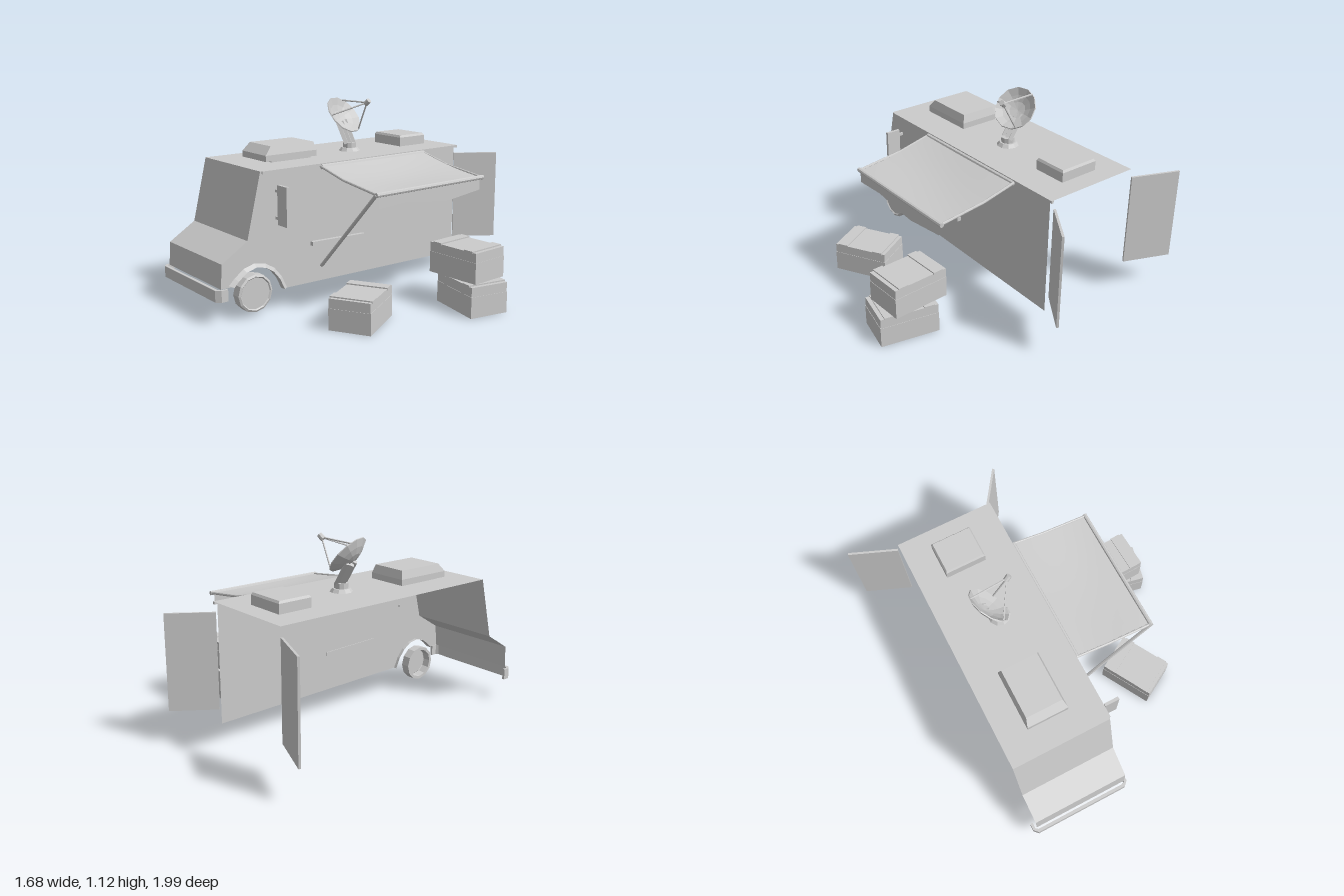
import * as THREE from 'three';

const grey = new THREE.MeshStandardMaterial({ color: 0xcccccc, flatShading: true, side: THREE.DoubleSide });
const smooth = new THREE.MeshStandardMaterial({ color: 0xcccccc, side: THREE.DoubleSide });
const V = (x, y, z) => new THREE.Vector3(x, y, z);

export function createModel() {
  const root = new THREE.Group();
  const add = (name, geo, parent = root, mat = grey) => {
    const m = new THREE.Mesh(geo, mat);
    m.name = name;
    parent.add(m);
    return m;
  };
  const group = (name) => {
    const g = new THREE.Group();
    g.name = name;
    root.add(g);
    return g;
  };
  // Box given by its lower and upper corners
  const block = (name, a, b, parent) => {
    const m = add(name, new THREE.BoxGeometry(b[0] - a[0], b[1] - a[1], b[2] - a[2]), parent);
    m.position.set((a[0] + b[0]) / 2, (a[1] + b[1]) / 2, (a[2] + b[2]) / 2);
    return m;
  };
  // Round rod between two points
  const rod = (name, a, b, r, parent, sides = 8) => {
    const d = b.clone().sub(a);
    const m = add(name, new THREE.CylinderGeometry(r, r, d.length(), sides), parent);
    m.position.copy(a).add(b).multiplyScalar(0.5);
    m.quaternion.setFromUnitVectors(V(0, 1, 0), d.normalize());
    return m;
  };
  // Sheet joining two matching rows of points
  const sheet = (name, rowA, rowB, parent, mat) => {
    const p = [];
    for (let i = 0; i < rowA.length - 1; i++) {
      for (const q of [rowA[i], rowB[i], rowB[i + 1], rowA[i], rowB[i + 1], rowA[i + 1]]) p.push(q.x, q.y, q.z);
    }
    const geo = new THREE.BufferGeometry();
    geo.setAttribute('position', new THREE.Float32BufferAttribute(p, 3));
    geo.computeVertexNormals();
    return add(name, geo, parent, mat);
  };

  // Body: roof and nose sheet, plus one side wall; open at the back, the other side and below
  const body = group('body');
  const X0 = -0.56, X1 = 0.025;
  const profile = [[-0.77, 0.8], [0.7, 0.8], [0.79, 0.435], [0.95, 0.335], [0.96, 0.2]];
  sheet('roofAndNose', profile.map(([z, y]) => V(X1, y, z)), profile.map(([z, y]) => V(X0, y, z)), body);
  const arch = [[0.57, 0.125], [0.6, 0.19], [0.64, 0.24], [0.69, 0.273], [0.75, 0.285], [0.81, 0.268], [0.86, 0.23], [0.89, 0.2]];
  const wall = new THREE.Shape([[-0.75, 0.1], ...arch, ...profile.slice().reverse().slice(0, 4), [-0.75, 0.8]]
    .map(([z, y]) => new THREE.Vector2(z, y)));
  add('sideWall', new THREE.ShapeGeometry(wall).rotateY(-Math.PI / 2), body).position.x = X1;
  block('gutter', [0.02, 0.785, -0.77], [0.034, 0.8, 0.69], body);
  sheet('wheelArchLip', arch.map(([z, y]) => V(0.005, y, z)), arch.map(([z, y]) => V(0.045, y, z)), body);
  sheet('wheelArchTrim', arch.map(([z, y]) => V(0.045, y, z)),
    arch.map(([z, y]) => V(0.027, y + 0.02 * (y - 0.1) / 0.18, z + 0.15 * (z - 0.74))), body);

  // Front bumper with wrapped ends
  const bumper = new THREE.Shape([[-0.585, 0.925], [-0.585, 0.965], [-0.56, 0.99], [0.015, 0.99], [0.04, 0.965], [0.04, 0.925],
    [0.025, 0.925], [0.025, 0.96], [0.01, 0.972], [-0.555, 0.972], [-0.57, 0.96], [-0.57, 0.925]]
    .map(([x, z]) => new THREE.Vector2(x, z)));
  add('bumper', new THREE.ExtrudeGeometry(bumper, { depth: 0.065, bevelEnabled: false }).rotateX(Math.PI / 2)).position.y = 0.198;

  // Wheel, hollow on its inner side
  const tyre = [[0, 0.02], [0.09, 0.02], [0.096, 0.026], [0.108, 0.02], [0.108, -0.035], [0.09, -0.035], [0.085, 0.01]]
    .map(([r, y]) => new THREE.Vector2(r, y));
  add('wheel', new THREE.LatheGeometry(tyre, 12).rotateZ(-Math.PI / 2)).position.set(0, 0.133, 0.745);

  // Open rear doors
  [[[-0.57, -0.77], [-0.84, -0.88]], [[0.01, -0.77], [0.165, -0.995]]].forEach(([a, b], i) => {
    const dx = b[0] - a[0], dz = b[1] - a[1];
    const door = add(i ? 'leftRearDoor' : 'rightRearDoor', new THREE.BoxGeometry(Math.hypot(dx, dz), 0.55, 0.013));
    door.position.set((a[0] + b[0]) / 2, 0.472, (a[1] + b[1]) / 2);
    door.rotation.y = -Math.atan2(dz, dx);
  });

  // Mirror and side shelf
  const mirror = group('sideMirror');
  block('mirrorPanel', [0.052, 0.5, 0.595], [0.14, 0.72, 0.613], mirror);
  for (const y of [0.535, 0.685]) block('mirrorBracket', [0.02, y - 0.008, 0.598], [0.055, y + 0.008, 0.61], mirror);
  block('sideShelf', [0.02, 0.335, 0], [0.05, 0.358, 0.38]).rotation.x = -0.03;

  // Awning: sagging cloth, valance, rails and prop
  const awning = group('awning');
  const zf = 0.305, zr = -0.475;
  const cloth = new THREE.PlaneGeometry(1, 1, 10, 12);
  const pos = cloth.attributes.position;
  for (let i = 0; i < pos.count; i++) {
    const u = pos.getX(i) + 0.5, v = pos.getY(i) + 0.5;
    const sag = Math.sin(Math.PI * u) * (0.012 + 0.015 * Math.sin(Math.PI * v));
    pos.setXYZ(i, 0.03 + 0.49 * u, 0.79 - 0.09 * u - sag, zf + (zr - zf) * v);
  }
  cloth.computeVertexNormals();
  add('awningCloth', cloth, awning, smooth);
  const hem = [[0.3, 0.625], [0.1, 0.635], [-0.05, 0.615], [-0.2, 0.6], [-0.33, 0.615], [-0.46, 0.63]];
  sheet('valance', hem.map(([z]) => V(0.52, 0.7, z)), hem.map(([z, y]) => V(0.521, y, z)), awning);
  rod('awningRoller', V(0.038, 0.782, zf), V(0.038, 0.782, zr), 0.014, awning);
  rod('awningFrontBar', V(0.52, 0.7, zf + 0.01), V(0.52, 0.7, zr - 0.01), 0.013, awning);
  for (const z of [zf, zr]) {
    rod('awningRail', V(0.03, 0.785, z), V(0.24, 0.735, z), 0.008, awning);
    rod('awningRail', V(0.24, 0.735, z), V(0.52, 0.7, z), 0.008, awning);
  }
  rod('awningProp', V(0.035, 0.21, 0.31), V(0.515, 0.7, 0.31), 0.01, awning, 6);

  // Roof units with a tapered upper half
  const roofUnit = (name, z0, z1, y0, yMid, y1, inset, frontInset) => {
    const g = group(name);
    block('unitBase', [-0.395, y0, z0], [-0.15, yMid, z1], g);
    const top = block('unitCover', [-0.395, yMid, z0], [-0.15, y1, z1], g);
    const p = top.geometry.attributes.position;
    for (let i = 0; i < p.count; i++) {
      if (p.getY(i) < 0) continue;
      p.setX(i, p.getX(i) - Math.sign(p.getX(i)) * inset);
      p.setZ(i, p.getZ(i) + (p.getZ(i) > 0 ? -frontInset : inset));
    }
  };
  roofUnit('frontRoofUnit', 0.2, 0.55, 0.81, 0.845, 0.893, 0.014, 0.042);
  roofUnit('rearRoofUnit', -0.655, -0.45, 0.8, 0.855, 0.868, 0.008, 0.008);
  for (const [z0, z1] of [[0.23, 0.5], [-0.63, -0.47]]) block('unitFoot', [-0.37, 0.798, z0], [-0.17, 0.815, z1]);

  // Satellite dish on its mount
  const dish = group('satelliteDish');
  const centre = V(-0.295, 1.005, -0.105), axis = V(0.74, 0.63, -0.22).normalize();
  const foot = add('dishFoot', new THREE.CylinderGeometry(0.05, 0.065, 0.02, 10), dish);
  foot.position.set(-0.235, 0.81, -0.11);
  rod('dishTurntable', V(-0.235, 0.81, -0.11), V(-0.235, 0.85, -0.11), 0.04, dish, 10);
  for (const s of [-1, 1]) rod('dishFork', V(-0.225, 0.84, -0.11 + s * 0.03), V(-0.315, 0.975, -0.11 + s * 0.03), 0.016, dish, 4);
  rod('dishPost', V(-0.235, 0.84, -0.11), V(-0.31, 0.965, -0.105), 0.024, dish, 4);
  const bowlProfile = [[0, -0.035], [0.05, -0.028], [0.09, -0.012], [0.13, 0.012], [0.127, 0.018], [0.088, -0.004], [0.05, -0.019], [0, -0.026]]
    .map(([r, y]) => new THREE.Vector2(r, y));
  const bowl = add('dishBowl', new THREE.LatheGeometry(bowlProfile, 12), dish);
  bowl.position.copy(centre);
  bowl.quaternion.setFromUnitVectors(V(0, 1, 0), axis);
  const feed = V(-0.14, 1.095, -0.17);
  for (const a of [0.2, 2.3, 4.4]) {
    const rim = V(0.125 * Math.sin(a), 0.012, 0.125 * Math.cos(a)).applyQuaternion(bowl.quaternion).add(centre);
    rod('feedStrut', rim, feed, 0.005, dish, 5);
  }
  rod('feedHorn', feed.clone().addScaledVector(axis, -0.015), feed.clone().addScaledVector(axis, 0.02), 0.016, dish, 8);

  // Equipment cases: x, base height, z, turn
  [[0.455, 0, 0.363, 0.5 - Math.PI / 2 + 0.015, 0.332], [0.65, 0, -0.28, -0.21, 0.34], [0.603, 0.18, -0.282, 0.04, 0.34]]
    .forEach(([x, y, z, turn, len]) => {
      const g = group('equipmentCase');
      g.position.set(x, y, z);
      g.rotation.y = turn;
      const h = len / 2;
      block('caseBody', [-h, 0.002, -0.118], [h, 0.122, 0.118], g);
      block('caseLid', [-h + 0.002, 0.122, -0.116], [h - 0.002, 0.176, 0.116], g);
      for (const s of [-1, 1]) block('caseBand', [s * 0.115 - 0.03, 0.17, -0.119], [s * 0.115 + 0.03, 0.183, 0.119], g);
    });
  return root;
}
